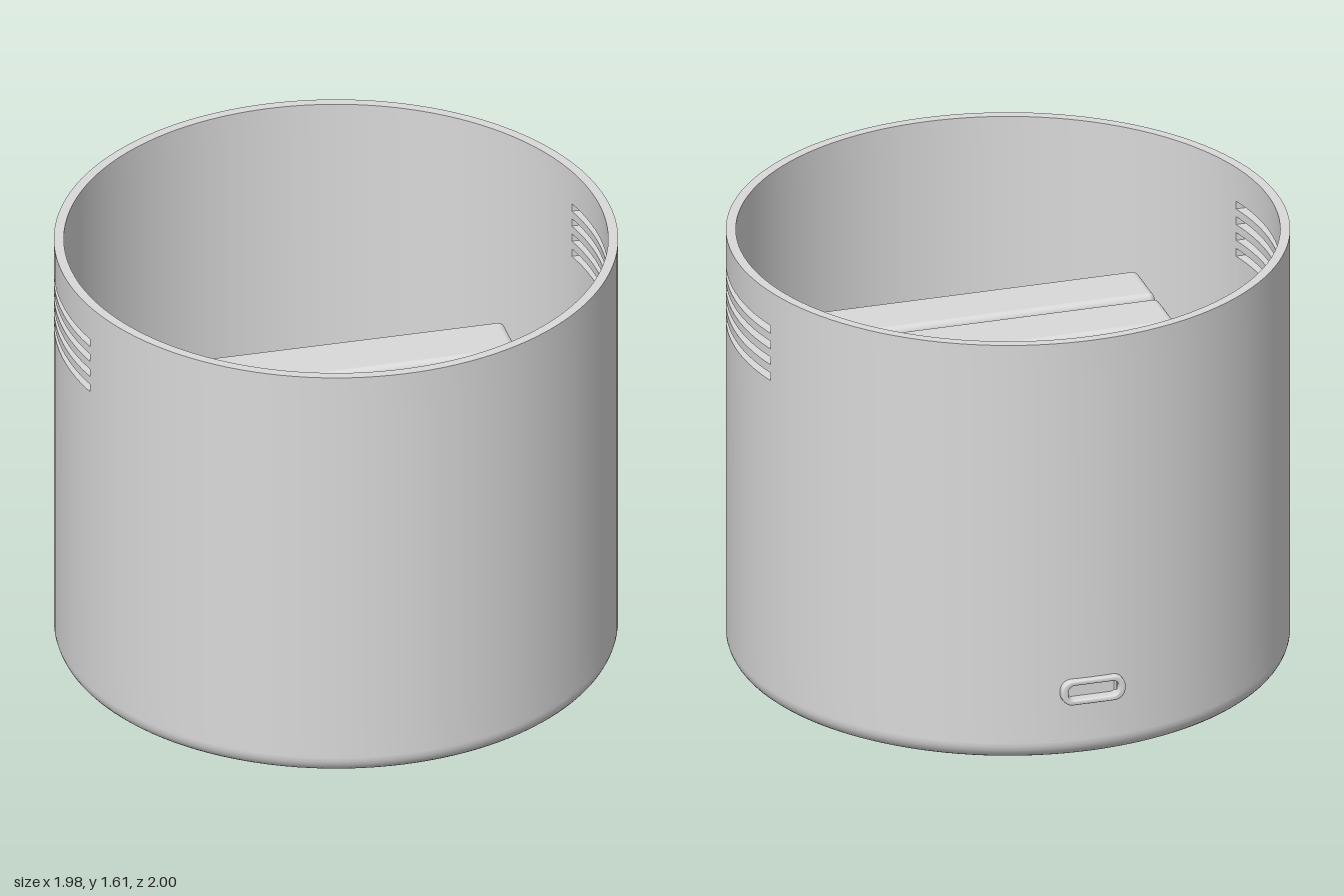
import * as THREE from 'three';
import { toCreasedNormals } from 'three/addons/utils/BufferGeometryUtils.js';
import { RoundedBoxGeometry } from 'three/addons/geometries/RoundedBoxGeometry.js';

const R = 0.99, INNER = 0.955, HEIGHT = 1.605, FILLET = 0.07, CZ = 0.01;
const RECESS = 0.034, FLOOR = 0.05;        // underside and top of the floor
const SLOT = Math.asin(0.26 / R);          // half angle of the vent slots
const PORT = 0.09, PORT_Y = 0.262;         // half angle and height of the port opening
const slotBottoms = [1.263, 1.324, 1.385, 1.445], SLOT_H = 0.03;

// Curved wall on an angle/height grid, leaving out the cells of the openings
function wallGeometry() {
  const ys = [FILLET, PORT_Y - 0.028, PORT_Y + 0.028, HEIGHT];
  slotBottoms.forEach((y) => ys.push(y, y + SLOT_H));
  ys.sort((a, b) => a - b);
  const back = -Math.PI / 2;
  const ts = [-SLOT, SLOT, Math.PI - SLOT, SLOT - Math.PI, back - PORT, back + PORT];
  for (let i = 0; i < 128; i++) ts.push(-Math.PI + (i * Math.PI) / 64);
  ts.sort((a, b) => a - b);
  const n = ts.length;

  const solid = (i, j) => {
    if (j < 0) return true;
    if (j >= ys.length - 1) return false;
    i = (i + n) % n;
    const t = (ts[i] + (i + 1 < n ? ts[i + 1] : Math.PI)) / 2;
    const y = (ys[j] + ys[j + 1]) / 2;
    const inSlot = Math.abs(Math.sin(t)) < Math.sin(SLOT) &&
      slotBottoms.some((b) => y > b && y < b + SLOT_H);
    const inPort = Math.abs(t - back) < PORT && Math.abs(y - PORT_Y) < 0.028;
    return !inSlot && !inPort;
  };

  const pos = [];
  const quad = (a, b, c, d) => pos.push(...a, ...b, ...c, ...a, ...c, ...d);
  const outer = (t, y) => [R * Math.cos(t), y, R * Math.sin(t)];
  // the inner angle shifts slightly so that the slot ends are cut straight along x
  const inner = (t, y) => {
    const s = t + 0.0193 * Math.sin(2 * t);
    return [INNER * Math.cos(s), y, INNER * Math.sin(s)];
  };
  for (let i = 0; i < n; i++) {
    const t0 = ts[i], t1 = ts[(i + 1) % n];
    for (let j = 0; j < ys.length - 1; j++) {
      if (!solid(i, j)) continue;
      const y0 = ys[j], y1 = ys[j + 1];
      quad(outer(t0, y0), outer(t0, y1), outer(t1, y1), outer(t1, y0));
      quad(inner(t1, y0), inner(t1, y1), inner(t0, y1), inner(t0, y0));
      if (!solid(i, j + 1)) quad(inner(t0, y1), inner(t1, y1), outer(t1, y1), outer(t0, y1));
      if (!solid(i, j - 1)) quad(outer(t0, y0), outer(t1, y0), inner(t1, y0), inner(t0, y0));
      if (!solid(i - 1, j)) quad(inner(t0, y0), inner(t0, y1), outer(t0, y1), outer(t0, y0));
      if (!solid(i + 1, j)) quad(outer(t1, y0), outer(t1, y1), inner(t1, y1), inner(t1, y0));
    }
  }
  const g = new THREE.BufferGeometry();
  g.setAttribute('position', new THREE.Float32BufferAttribute(pos, 3));
  return toCreasedNormals(g, 0.6);
}

// Base with recessed underside, rounded lower edge and flat inner floor
function baseGeometry() {
  const pts = [new THREE.Vector2(0, RECESS), new THREE.Vector2(R - FILLET, RECESS)];
  for (let k = 0; k <= 8; k++) {
    const a = (k / 8) * Math.PI / 2;
    pts.push(new THREE.Vector2(R - FILLET + FILLET * Math.sin(a), FILLET * (1 - Math.cos(a))));
  }
  [[R, FILLET + 0.01], [INNER, FILLET + 0.01], [INNER, FLOOR], [0, FLOOR]]
    .forEach(([x, y]) => pts.push(new THREE.Vector2(x, y)));
  return toCreasedNormals(new THREE.LatheGeometry(pts, 128), 0.6);
}

// Rounded rectangle outline from half width, half height and corner radius
function roundedRect(path, w, h, r) {
  path.moveTo(-w + r, -h);
  path.absarc(w - r, -h + r, r, -Math.PI / 2, 0, false);
  path.absarc(w - r, h - r, r, 0, Math.PI / 2, false);
  path.absarc(-w + r, h - r, r, Math.PI / 2, Math.PI, false);
  path.absarc(-w + r, -h + r, r, Math.PI, Math.PI * 1.5, false);
  return path;
}

// Extrude an outline along z at the height of the port
function portGeometry(shape, z0, z1, bevel) {
  const g = new THREE.ExtrudeGeometry(shape, {
    depth: z1 - z0 - 2 * bevel, curveSegments: 8, bevelEnabled: bevel > 0,
    bevelSize: bevel, bevelThickness: bevel, bevelSegments: 3,
  });
  g.translate(0, PORT_Y, z0 + bevel);
  return toCreasedNormals(g, 0.6);
}

export function createModel() {
  const model = new THREE.Group();
  model.name = 'deviceHousing';
  const grey = new THREE.MeshStandardMaterial({ color: 0xd9d9d9 });
  grey.name = 'light grey';
  const add = (name, geometry, x = 0, y = 0, z = 0) => {
    const mesh = new THREE.Mesh(geometry, grey);
    mesh.name = name;
    mesh.position.set(x, y, z);
    model.add(mesh);
  };
  // Box given by its lower and upper limits
  const addBox = (name, x0, x1, y0, y1, z0, z1, radius = 0) => {
    const size = [x1 - x0, y1 - y0, z1 - z0];
    const g = radius ? new RoundedBoxGeometry(...size, 4, radius) : new THREE.BoxGeometry(...size);
    add(name, g, (x0 + x1) / 2, (y0 + y1) / 2, (z0 + z1) / 2);
  };

  // Housing
  add('wall', wallGeometry(), 0, 0, CZ);
  add('base', baseGeometry(), 0, 0, CZ);

  // Charging port rim and the connector behind it
  const rim = roundedRect(new THREE.Shape(), 0.111, 0.041, 0.036);
  rim.holes.push(roundedRect(new THREE.Path(), 0.099, 0.034, 0.03));
  add('portRim', portGeometry(rim, -1, -0.95, 0.006));
  add('connector', portGeometry(roundedRect(new THREE.Shape(), 0.104, 0.042, 0.035), -0.96, -0.43, 0));

  // Upright circuit board with two chips
  addBox('circuitBoard', -0.59, 0.59, FLOOR, 0.6, -0.435, -0.4);
  addBox('largeChip', -0.355, -0.12, 0.28, 0.5, -0.4, -0.335);
  addBox('smallChip', 0.08, 0.295, 0.28, 0.48, -0.4, -0.36);

  // Two upright battery packs
  for (const z of [-0.021, 0.227]) addBox('battery', -0.613, 0.613, FLOOR, 1.176, z, z + 0.225, 0.025);

  return model;
}
